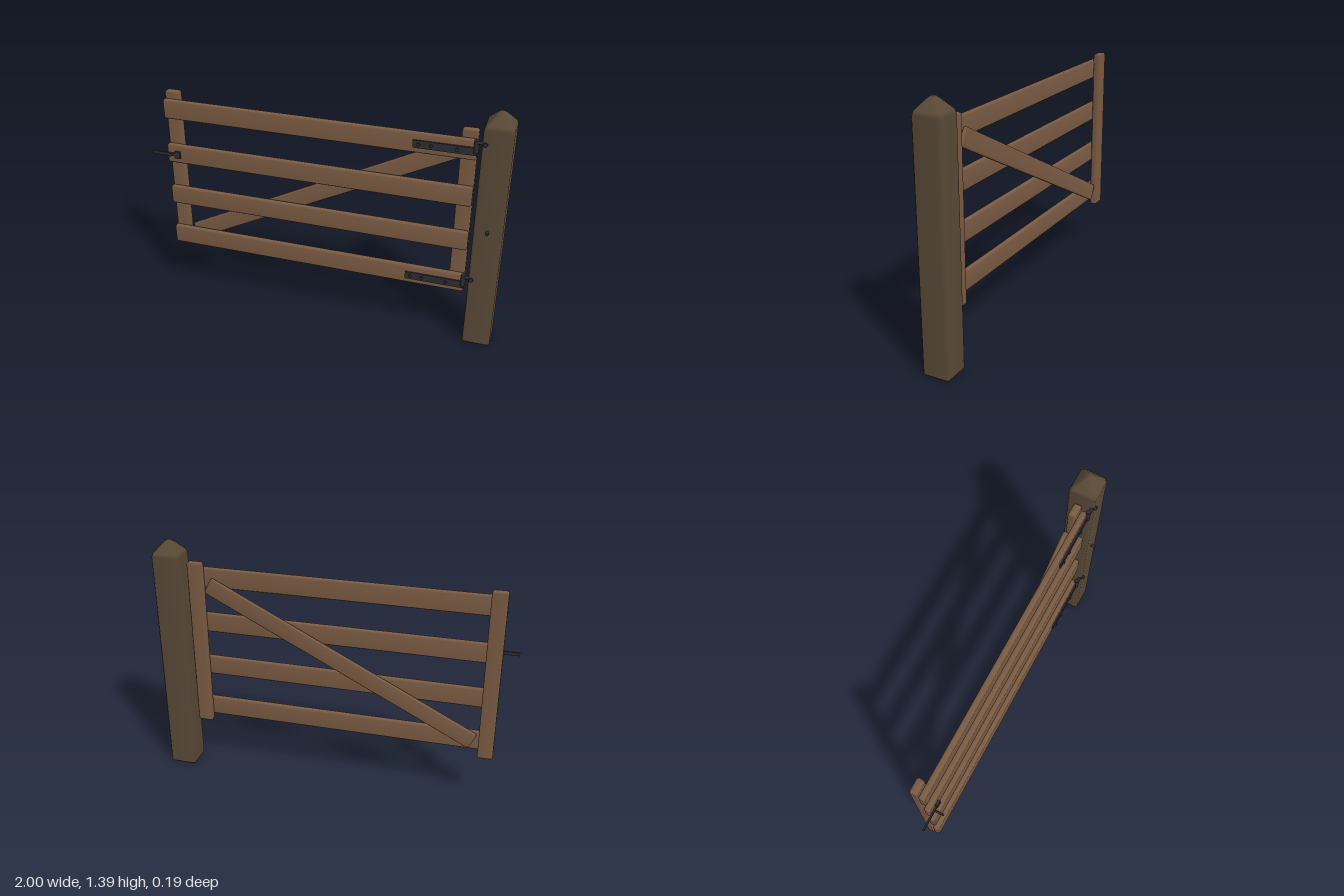
import * as THREE from 'three';

const railWood = new THREE.MeshStandardMaterial({ color: 0x7a5b43 });
railWood.name = 'gate wood';
const postWood = new THREE.MeshStandardMaterial({ color: 0x594937 });
postWood.name = 'post wood';
const iron = new THREE.MeshStandardMaterial({ color: 0x2c2c33 });
iron.name = 'dark iron';

// Closed, softly shaded solid from chamfered rectangles stacked along y: [y, halfWidth, halfDepth, chamfer]
function loft(rings) {
  const pos = [], index = [], n = 8;
  for (const [y, w, d, c] of rings) {
    const outline = [[w, c - d], [w, d - c], [w - c, d], [c - w, d], [-w, d - c], [-w, c - d], [c - w, -d], [w - c, -d]];
    for (const [x, s] of outline) pos.push(x, y, -s);
  }
  const last = rings.length - 1, bottom = rings.length * n, top = bottom + 1;
  pos.push(0, rings[0][0], 0, 0, rings[last][0], 0);
  for (let j = 0; j < n; j++) {
    const k = (j + 1) % n;
    for (let i = 0; i < last; i++) {
      const a = i * n + j, b = i * n + k;
      index.push(a, b, b + n, a, b + n, a + n);
    }
    index.push(bottom, k, j, top, last * n + j, last * n + k);
  }
  const g = new THREE.BufferGeometry();
  g.setAttribute('position', new THREE.Float32BufferAttribute(pos, 3));
  g.setIndex(index);
  g.computeVertexNormals();
  return g;
}

// Chamfered timber, upright and centred
function timber(length, width, depth, c = 0.008) {
  const h = length / 2, w = width / 2, d = depth / 2;
  return loft([
    [-h, w - c, d - c, c / 2], [c - h, w, d, c],
    [h - c, w, d, c], [h, w - c, d - c, c / 2],
  ]);
}

function add(parent, name, geometry, material, x, y, z) {
  const mesh = new THREE.Mesh(geometry, material);
  mesh.name = name;
  mesh.position.set(x, y, z);
  parent.add(mesh);
  return mesh;
}

const rodX = (r, l) => new THREE.CylinderGeometry(r, r, l, 12).rotateZ(Math.PI / 2);
const rodZ = (r, l) => new THREE.CylinderGeometry(r, r, l, 12).rotateX(Math.PI / 2);

export function createModel() {
  const model = new THREE.Group();
  model.name = 'fieldGate';

  // Hanging post with a weathered point
  add(model, 'post', loft([
    [0, 0.068, 0.068, 0.006], [0.01, 0.077, 0.077, 0.012], [1.31, 0.077, 0.077, 0.012],
    [1.33, 0.071, 0.071, 0.014], [1.38, 0.027, 0.027, 0.01], [1.392, 0.012, 0.012, 0.005],
  ]), postWood, 0.923, 0, -0.019);
  add(model, 'postBolt', rodZ(0.008, 0.05), iron, 0.92, 0.74, 0.06);

  // Gate frame
  const gate = new THREE.Group();
  gate.name = 'gate';
  model.add(gate);
  for (const x of [-0.874, 0.777])
    add(gate, 'stile', timber(0.985, 0.085, 0.045), railWood, x, 0.787, -0.022);
  for (const y of [0.377, 0.645, 0.914, 1.184])
    add(gate, 'rail', timber(1.737, 0.112, 0.035).rotateZ(-Math.PI / 2), railWood, -0.048, y, 0.0175);
  const slope = Math.atan2(0.765, 1.51);
  add(gate, 'brace', timber(1.69, 0.1, 0.026).rotateZ(slope - Math.PI / 2), railWood, -0.045, 0.77, -0.025);

  // Strap hinges with their pins on the post
  for (const y of [0.375, 1.182]) {
    const hinge = new THREE.Group();
    hinge.name = 'hinge';
    hinge.position.y = y;
    model.add(hinge);
    add(hinge, 'strap', new THREE.BoxGeometry(0.325, 0.043, 0.009), iron, 0.658, 0, 0.039);
    for (const x of [0.525, 0.59, 0.725])
      add(hinge, 'strapBolt', rodZ(0.009, 0.012), iron, x, 0, 0.045);
    add(hinge, 'knuckle', new THREE.CylinderGeometry(0.013, 0.013, 0.07, 14), iron, 0.818, 0.03, 0.04);
    add(hinge, 'hingePin', rodX(0.009, 0.055), iron, 0.842, 0.054, 0.045);
    add(hinge, 'pinHead', rodZ(0.012, 0.025), iron, 0.863, 0.054, 0.056);
  }

  // Sliding latch
  const latch = new THREE.Group();
  latch.name = 'latch';
  latch.position.y = 0.914;
  model.add(latch);
  add(latch, 'latchBar', new THREE.BoxGeometry(0.15, 0.018, 0.009), iron, -0.925, 0, 0.042);
  add(latch, 'latchKeeper', new THREE.BoxGeometry(0.032, 0.042, 0.015), iron, -0.849, 0, 0.041);
  add(latch, 'latchHandle', rodZ(0.006, 0.052), iron, -0.886, 0, 0.069);

  return model;
}
